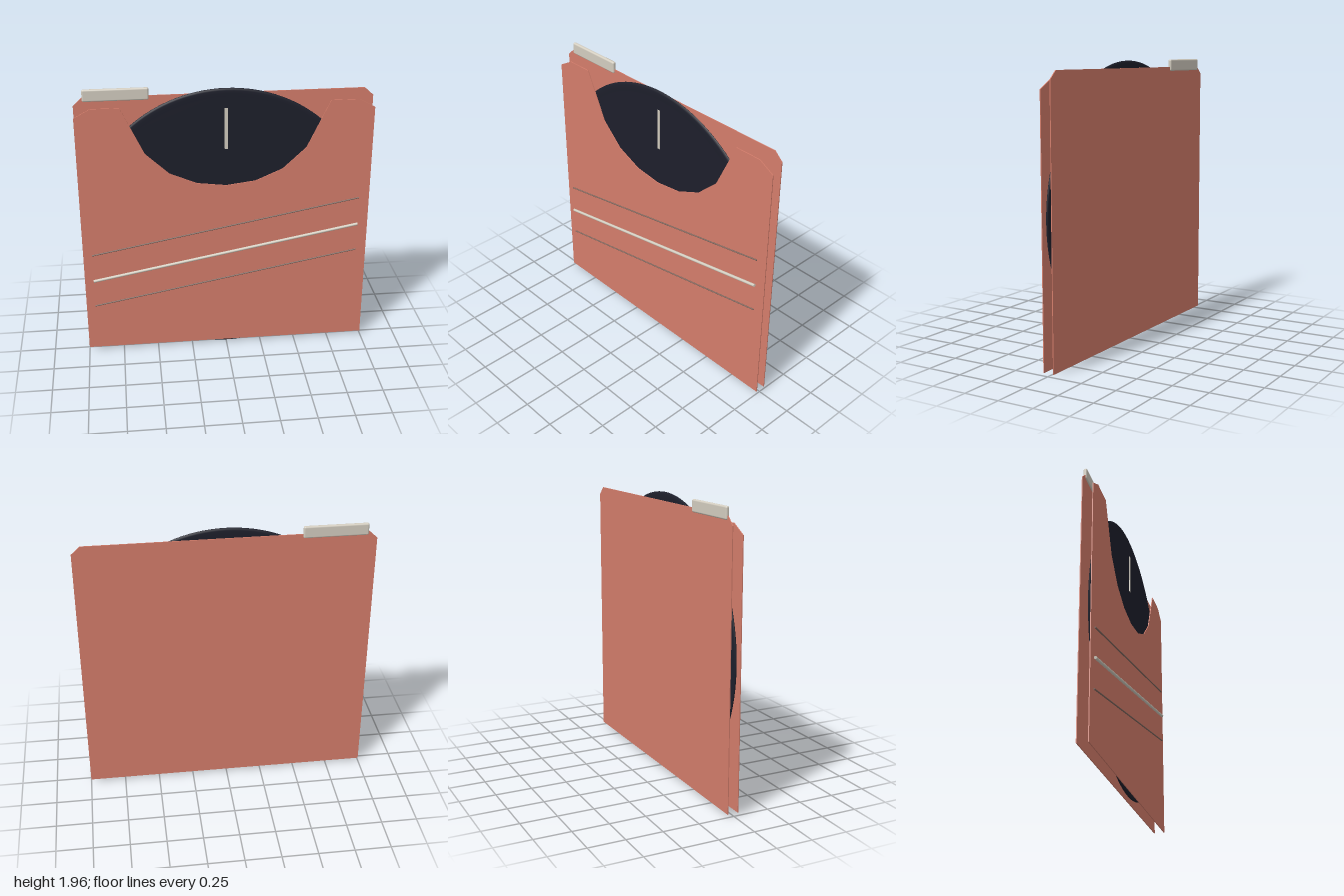
import * as THREE from 'three';
import { RoundedBoxGeometry } from 'three/addons/geometries/RoundedBoxGeometry.js';

const material = (name, color) => {
  const m = new THREE.MeshStandardMaterial({ color });
  m.name = name;
  return m;
};

export function createModel() {
  const group = new THREE.Group();
  const coral = material('coral card', 0xd47d6b);
  const black = material('black vinyl', 0x1d1f2b);
  const ivory = material('ivory', 0xd3cdc0);
  const grey = material('grey brown line', 0x80675e);

  const add = (name, geometry, mat, x = 0, y = 0, z = 0) => {
    const mesh = new THREE.Mesh(geometry, mat);
    mesh.name = name;
    mesh.position.set(x, y, z);
    group.add(mesh);
    return mesh;
  };

  // Sleeve panels: a right half outline, mirrored to the left
  const panel = (name, half, z) => {
    const mirrored = half.filter(([x]) => x > 0).reverse().map(([x, y]) => [-x, y]);
    const shape = new THREE.Shape([...half, ...mirrored].map(([x, y]) => new THREE.Vector2(x, y)));
    const depth = 0.006;
    add(name, new THREE.ExtrudeGeometry(shape, { depth, bevelEnabled: false }), coral, 0, 0, z - depth / 2);
  };
  panel('backPanel', [[1, 0.02], [1, 1.85], [0.94, 1.905]], -0.043);
  panel('frontPanel', [[1, 0.02], [1, 1.79], [0.89, 1.85], [0.7, 1.85], [0.545, 1.52],
    [0.385, 1.37], [0.2, 1.29], [0, 1.265]], 0.03);

  // Disc with shallow grooves and a rounded rim
  const R = 0.977, t = 0.01, face = [];
  for (let r = 0.3; r < 0.93; r += 0.015) {
    face.push([r, t - 0.001], [r + 0.0075, t]);
  }
  const rim = [[0.945, t], [0.962, t], [0.972, t * 0.7], [R, t * 0.25]];
  const top = [[0.02, t], [0.28, t], ...face, ...rim];
  const bottom = top.map(([r, y]) => [r, -y]);
  const profile = [...bottom, ...top.reverse(), bottom[0]].map(([r, y]) => new THREE.Vector2(r, y));
  const disc = new THREE.LatheGeometry(profile, 128).rotateX(Math.PI / 2);
  add('disc', disc, black, 0, R, 0.01);

  // Raised centre of the disc
  add('discCentre', new THREE.CylinderGeometry(0.26, 0.26, 0.027, 64).rotateX(Math.PI / 2),
    black, 0, R, 0.01);

  // Pale marker on the disc face
  add('discMarker', new THREE.BoxGeometry(0.02, 0.29, 0.006), ivory, 0, 1.675, 0.021);

  // Index tab on the back panel
  add('indexTab', new RoundedBoxGeometry(0.435, 0.083, 0.026, 3, 0.011), ivory, -0.722, 1.918, -0.043);

  // Slanted rods across the front panel
  const angle = Math.atan2(0.35, 1.865), length = Math.hypot(0.35, 1.865);
  const rod = (name, y, radius, mat, z) => {
    const geometry = new THREE.CylinderGeometry(radius, radius, length, 12).rotateZ(Math.PI / 2);
    add(name, geometry, mat, -0.005, y, z).rotation.z = angle;
  };
  rod('upperLine', 0.953, 0.005, grey, 0.041);
  rod('middleRod', 0.75, 0.01, ivory, 0.045);
  rod('lowerLine', 0.547, 0.005, grey, 0.041);

  return group;
}
